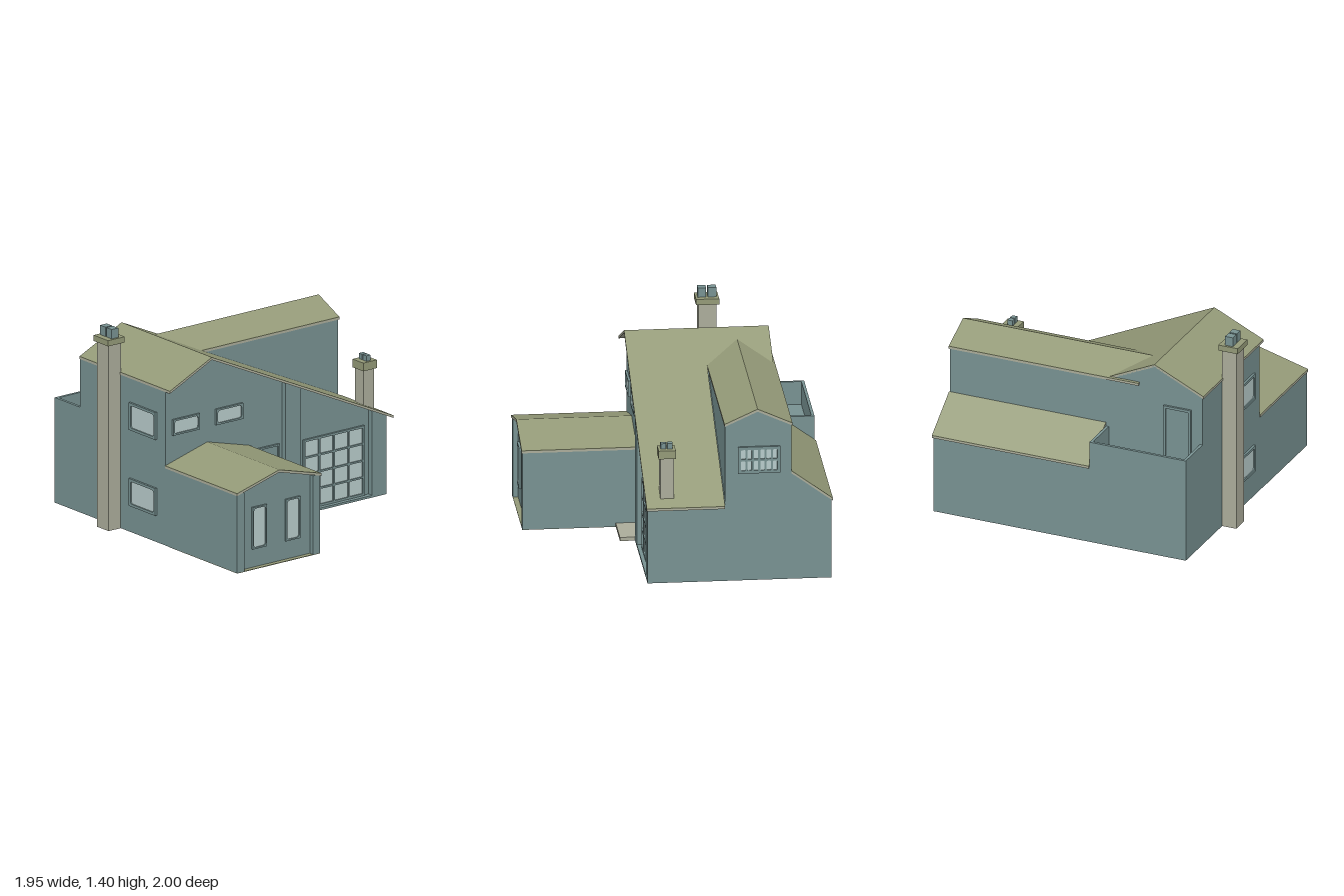
import * as THREE from 'three';

const mat = (name, color) => {
  const m = new THREE.MeshStandardMaterial({ color });
  m.name = name;
  return m;
};

export function createModel() {
  const wall = mat('blue grey wall', 0x789292);
  const roof = mat('olive roof', 0x949a78);
  const trim = mat('pale stone', 0xacad9b);
  const glass = mat('pale glass', 0xb8cccb);

  const house = new THREE.Group();
  house.name = 'house';

  const add = (name, geo, material, parent = house) => {
    const mesh = new THREE.Mesh(geo, material);
    mesh.name = name;
    parent.add(mesh);
    return mesh;
  };

  // Box given by its limits on each axis
  const box = (name, material, [x0, x1], [y0, y1], [z0, z1], parent) => {
    const geo = new THREE.BoxGeometry(x1 - x0, y1 - y0, z1 - z0);
    geo.translate((x0 + x1) / 2, (y0 + y1) / 2, (z0 + z1) / 2);
    return add(name, geo, material, parent);
  };

  // Cross-section pushed along x (points are [z, y]) or along z (points are [x, y])
  const prism = (name, material, axis, pts, lo, hi, parent) => {
    const s = axis === 'x' ? -1 : 1;
    const shape = new THREE.Shape(pts.map(([a, y]) => new THREE.Vector2(s * a, y)));
    const geo = new THREE.ExtrudeGeometry(shape, { depth: hi - lo, bevelEnabled: false });
    geo.translate(0, 0, lo);
    if (axis === 'x') geo.rotateY(Math.PI / 2);
    return add(name, geo, material, parent);
  };

  // Roof layer following a ridge line: pale slab with an olive covering
  const roofing = (name, axis, line, lo, hi) => {
    const g = new THREE.Group();
    g.name = name;
    const layer = (top, bottom) => [
      ...line.map(([a, y]) => [a, y + top]),
      ...[...line].reverse().map(([a, y]) => [a, y + bottom]),
    ];
    prism('roofSlab', trim, axis, layer(-0.004, -0.018), lo, hi, g);
    prism('roofCovering', roof, axis, layer(0, -0.004), lo, hi, g);
    house.add(g);
  };

  const roundedRect = (path, x, y, w, h, r) => {
    path.moveTo(x + r, y);
    path.lineTo(x + w - r, y);
    path.quadraticCurveTo(x + w, y, x + w, y + r);
    path.lineTo(x + w, y + h - r);
    path.quadraticCurveTo(x + w, y + h, x + w - r, y + h);
    path.lineTo(x + r, y + h);
    path.quadraticCurveTo(x, y + h, x, y + h - r);
    path.lineTo(x, y + r);
    path.quadraticCurveTo(x, y, x + r, y);
    return path;
  };

  // Framed opening facing +z before it is turned, with a grid of panes
  const opening = (name, pos, turn, w, h, o = {}) => {
    const { cols = 1, rows = 1, edge = 0.018, bar = 0.01, r = 0.02, fill = glass } = o;
    const g = new THREE.Group();
    g.name = name;
    const shape = new THREE.Shape([[-1, -1], [1, -1], [1, 1], [-1, 1]]
      .map(([a, b]) => new THREE.Vector2(a * w / 2, b * h / 2)));
    const pw = (w - 2 * edge - (cols - 1) * bar) / cols;
    const ph = (h - 2 * edge - (rows - 1) * bar) / rows;
    for (let c = 0; c < cols; c++) {
      for (let k = 0; k < rows; k++) {
        shape.holes.push(roundedRect(new THREE.Path(),
          -w / 2 + edge + c * (pw + bar), -h / 2 + edge + k * (ph + bar), pw, ph, r));
      }
    }
    add('frame', new THREE.ExtrudeGeometry(shape, { depth: 0.015, bevelEnabled: false, curveSegments: 5 }), wall, g);
    box('pane', fill, [-w / 2 + edge / 2, w / 2 - edge / 2], [-h / 2 + edge / 2, h / 2 - edge / 2], [0, 0.006], g);
    g.position.set(...pos);
    g.rotation.y = turn;
    house.add(g);
    return g;
  };

  // Main house under a long rear slope
  prism('mainWalls', wall, 'x',
    [[0.88, 0], [0.88, 1.075], [0.53, 1.24], [-0.95, 0.553], [-0.95, 0]], -0.7, 0.21);
  roofing('mainRoofFront', 'x', [[0.885, 1.085], [0.53, 1.25], [0.18, 1.0876]], -0.7, 0.26);
  roofing('mainRoofRear', 'x', [[0.18, 1.0876], [-1, 0.54]], -0.26, 0.26);
  for (const [z0, z1] of [[-0.23, -0.1], [-0.95, -0.83]]) {
    const roofY = (z) => 1.24 + 0.464 * (z - 0.53);
    prism('wallPier', wall, 'x', [[z0, 0], [z1, 0], [z1, roofY(z1)], [z0, roofY(z0)]], 0.2, 0.25);
  }
  box('windowSill', wall, [0.2, 0.25], [0, 0.015], [-0.83, -0.23]);

  // Rear wing with its own ridge and a lean-to beside it
  prism('wingWalls', wall, 'z',
    [[-0.97, 0], [-0.97, 0.55], [-0.705, 0.745], [-0.705, 1.085], [-0.48, 1.19], [-0.265, 1.09], [-0.265, 0]],
    -0.95, 0.18);
  roofing('wingRoof', 'z', [[-0.712, 1.095], [-0.48, 1.2], [-0.26, 1.1]], -0.958, 0.42);
  roofing('leanToRoof', 'z', [[-0.98, 0.558], [-0.705, 0.76]], -0.958, 0.18);
  box('wingFloor', glass, [-0.71, -0.26], [-0.002, 0.002], [-0.75, 0.18]);

  // Terrace with parapet
  box('terraceBase', wall, [-0.97, -0.7], [0, 0.57], [0.18, 0.88]);
  box('parapetSide', wall, [-0.97, -0.95], [0.57, 0.73], [0.18, 0.88]);
  box('parapetFront', wall, [-0.95, -0.7], [0.57, 0.73], [0.86, 0.88]);
  box('parapetBack', wall, [-0.95, -0.7], [0.57, 0.73], [0.18, 0.2]);

  // Low side extension
  prism('extensionWalls', wall, 'x',
    [[0.88, 0], [0.88, 0.547], [0.53, 0.64], [0.18, 0.547], [0.18, 0]], 0.21, 0.935);
  for (const z of [0.18, 0.82]) {
    box('extensionPier', wall, [0.93, 0.97], [0, 0.547], [z, z + 0.06]);
  }
  roofing('extensionRoof', 'x', [[0.885, 0.555], [0.53, 0.65], [0.175, 0.555]], 0.21, 0.975);
  box('extensionFloor', roof, [0.25, 0.97], [-0.002, 0.002], [0.18, 0.88]);

  // Windows
  const right = Math.PI / 2;
  for (const y of [0.28, 0.807]) opening('frontWindow', [-0.025, y, 0.88], 0, 0.28, 0.19);
  for (const z of [0.715, 0.35]) opening('upperWindow', [0.21, 0.81, z], right, 0.225, 0.11, { edge: 0.012 });
  for (const z of [0.672, 0.39]) opening('extensionWindow', [0.935, 0.275, z], right, 0.122, 0.29, { edge: 0.01, r: 0.025 });
  opening('largeWindow', [0.21, 0.26, -0.53], right, 0.515, 0.485,
    { cols: 4, rows: 4, edge: 0.015, bar: 0.012, r: 0.006 });
  opening('rearWindow', [-0.49, 0.845, -0.95], Math.PI, 0.28, 0.185,
    { cols: 6, rows: 2, edge: 0.02, bar: 0.014, r: 0.006 });

  // Doors and porch step
  const door = opening('frontDoor', [0.21, 0.272, 0.042], right, 0.225, 0.495, { edge: 0.012, r: 0.002, fill: wall });
  const knob = add('doorKnob', new THREE.SphereGeometry(0.012, 12, 8), wall, door);
  knob.position.set(0.062, 0, 0.018);
  opening('terraceDoor', [-0.7, 0.77, 0.7], -right, 0.2, 0.4, { r: 0.002, fill: wall });
  box('porchStep', trim, [0.2, 0.35], [0, 0.025], [-0.105, 0.18]);

  // Chimneys: shaft, cap and a pair of square pots
  const chimney = (name, x, z, hx, hz, over, y0, yCap, yTop, capH, pot) => {
    const g = new THREE.Group();
    g.name = name;
    box('chimneyShaft', trim, [x - hx, x + hx], [y0, yCap], [z - hz, z + hz], g);
    box('chimneyCap', roof, [x - hx - over, x + hx + over], [yCap, yCap + capH], [z - hz - over, z + hz + over], g);
    for (const s of [-1, 1]) {
      const px = x + s * pot * 0.6;
      box('chimneyPot', wall, [px - pot / 2, px + pot / 2], [yCap + capH, yTop], [z - pot / 2, z + pot / 2], g);
    }
    house.add(g);
  };
  chimney('frontChimney', -0.328, 0.93, 0.06, 0.053, 0.017, 0, 1.29, 1.395, 0.04, 0.056);
  chimney('rearChimney', 0.117, -0.872, 0.045, 0.045, 0.012, 0.5, 0.86, 0.955, 0.057, 0.036);

  return house;
}
